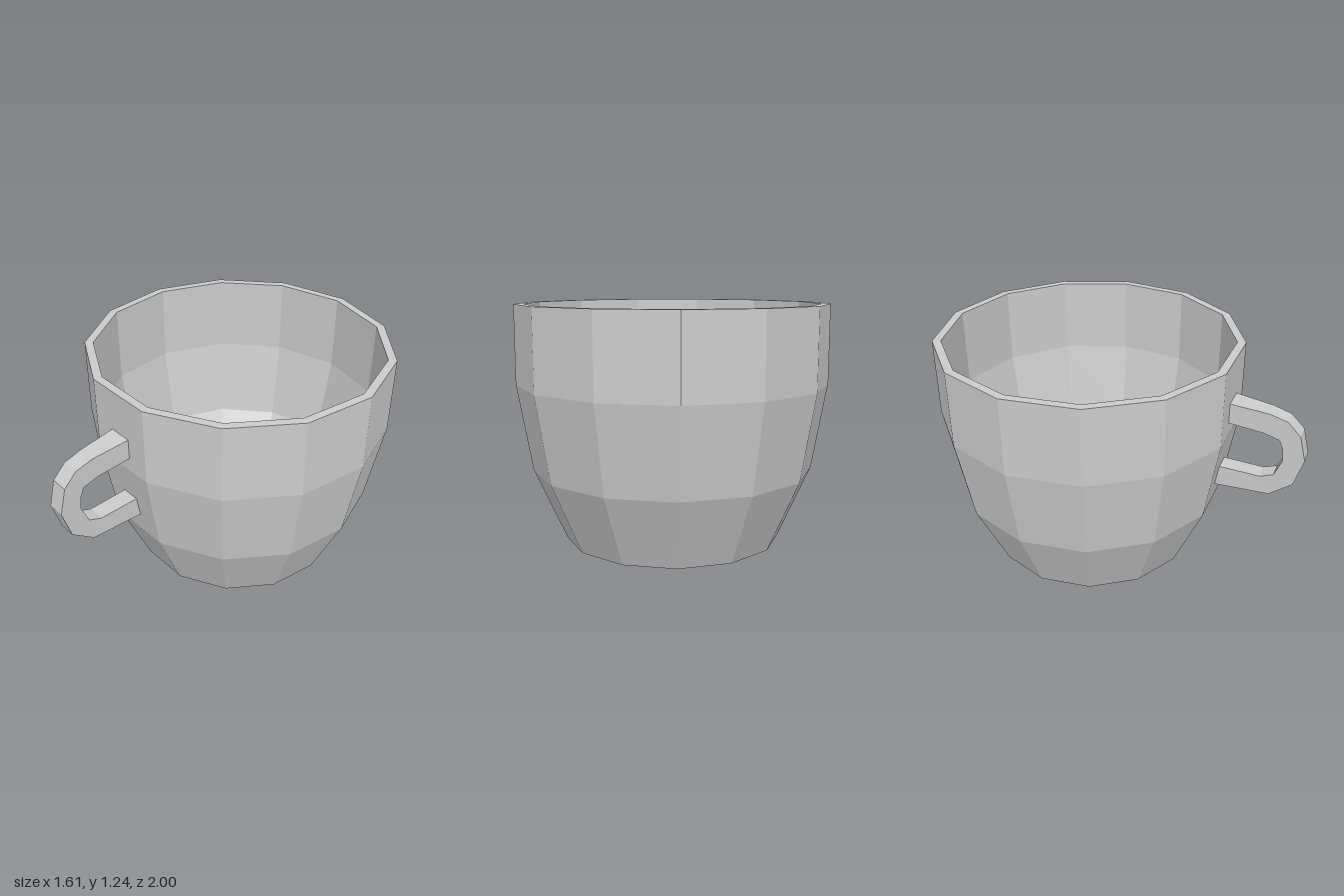
import * as THREE from 'three';

const SIDES = 13;
const CENTER_Z = -0.188;

// Square-section strap swept through [outerZ, outerY, innerZ, innerY, halfWidth] stations
function makeStrap(stations) {
  const pos = [];
  const index = [];
  for (const [oz, oy, iz, iy, w] of stations) {
    pos.push(-w, oy, oz, w, oy, oz, w, iy, iz, -w, iy, iz);
  }
  const last = (stations.length - 1) * 4;
  for (let s = 0; s < last; s += 4) {
    for (let k = 0; k < 4; k++) {
      const a = s + k;
      const b = s + (k + 1) % 4;
      index.push(a, a + 4, b, b, a + 4, b + 4);
    }
  }
  // end caps
  index.push(0, 1, 2, 0, 2, 3);
  index.push(last, last + 2, last + 1, last, last + 3, last + 2);
  const geo = new THREE.BufferGeometry();
  geo.setAttribute('position', new THREE.Float32BufferAttribute(pos, 3));
  geo.setIndex(index);
  const flat = geo.toNonIndexed();
  flat.computeVertexNormals();
  return flat;
}

export function createModel() {
  const model = new THREE.Group();
  model.name = 'cup';
  const material = new THREE.MeshStandardMaterial({ color: 0xcccccc, flatShading: true });

  // Cup wall: base, outside, rim, inside and inner floor in one profile
  const profile = [
    [0, 0], [0.567, 0], [0.734, 0.375], [0.812, 0.825], [0.812, 1.235],
    [0.767, 1.235], [0.767, 0.825], [0.689, 0.385], [0.497, 0.04], [0, 0.04],
  ].map(([r, y]) => new THREE.Vector2(r, y));
  const body = new THREE.Mesh(new THREE.LatheGeometry(profile, SIDES, Math.PI), material);
  body.name = 'cupBody';
  body.position.z = CENTER_Z;
  model.add(body);

  // Handle: flared at the upper joint, following the wall slope at the lower one
  const handle = new THREE.Mesh(makeStrap([
    [0.595, 1.01, 0.595, 0.9, 0.065],
    [0.8, 0.985, 0.78, 0.871, 0.05],
    [0.895, 0.957, 0.863, 0.845, 0.048],
    [0.965, 0.887, 0.882, 0.8, 0.048],
    [1.0, 0.75, 0.89, 0.73, 0.048],
    [0.955, 0.6, 0.852, 0.636, 0.048],
    [0.837, 0.512, 0.782, 0.61, 0.048],
    [0.545, 0.505, 0.565, 0.62, 0.05],
  ]), material);
  handle.name = 'handle';
  model.add(handle);

  return model;
}
